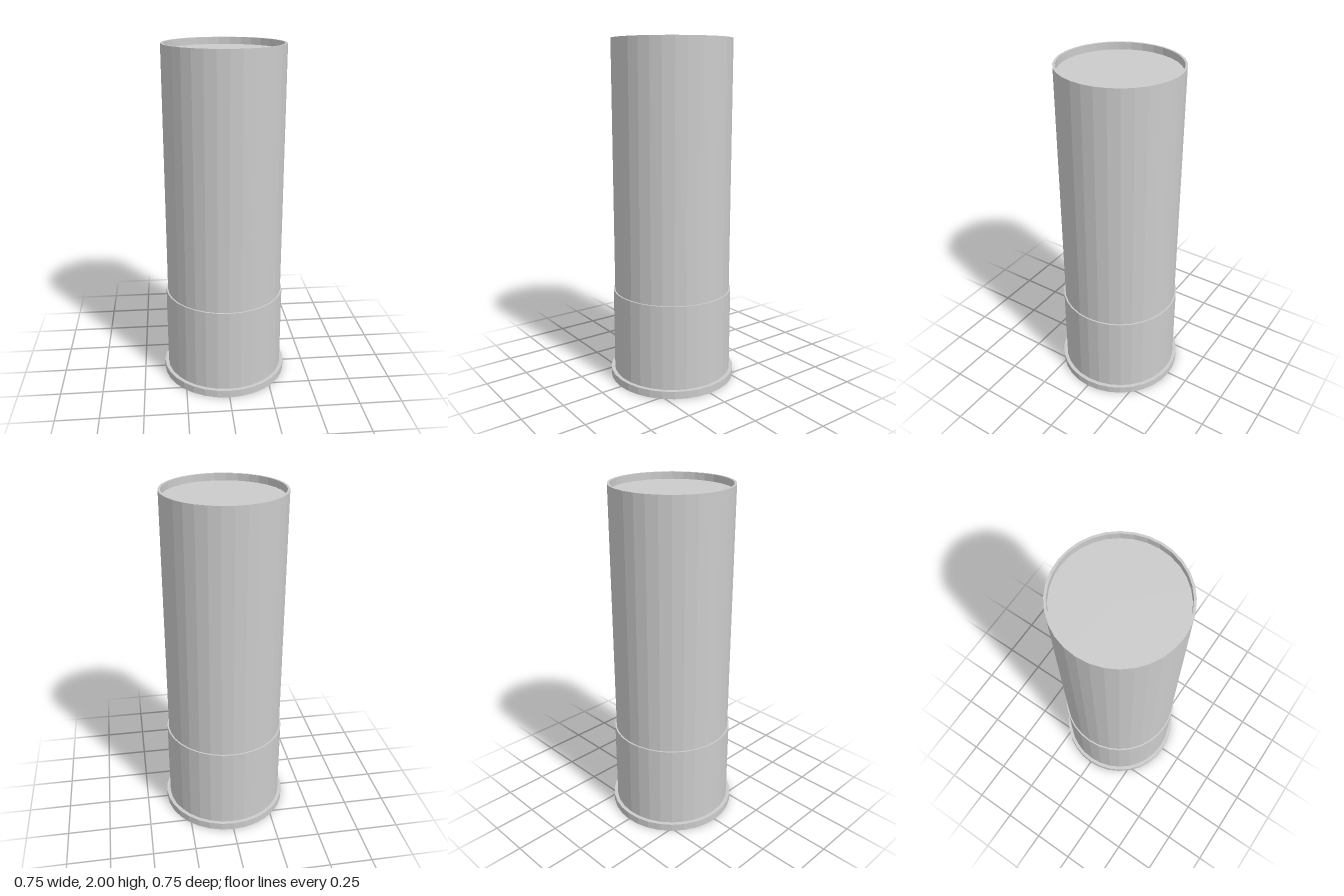
import * as THREE from 'three';

const SIDES = 32;
const material = new THREE.MeshStandardMaterial({ color: 0xcccccc, flatShading: true });

// Turned part: the profile of [radius, height] pairs runs from the bottom, outside, to the top
function turned(name, profile) {
  const points = profile.map(([r, y]) => new THREE.Vector2(r, y));
  const mesh = new THREE.Mesh(new THREE.LatheGeometry(points, SIDES), material);
  mesh.name = name;
  return mesh;
}

export function createModel() {
  const group = new THREE.Group();
  group.name = 'shotgunShell';

  const rimR = 0.374, headR = 0.352, tubeR = 0.343, innerR = 0.33, primerR = 0.128;
  const rimTop = 0.045, headTop = 0.545, top = 2, closureY = 1.96, primerY = 0.025;

  // Metal head with its flanged rim, open at the primer pocket
  group.add(turned('metalHead', [
    [primerR, primerY], [primerR, 0], [rimR, 0], [rimR, rimTop],
    [headR, rimTop], [headR, headTop], [tubeR, headTop],
  ]));

  // Recessed primer in the base
  group.add(turned('primer', [[0, primerY], [primerR, primerY]]));

  // Hull tube with a thin lip at the mouth
  group.add(turned('hullTube', [
    [tubeR, headTop], [tubeR, top], [innerR, top], [innerR, closureY],
  ]));

  // Flat closure sunk below the lip
  group.add(turned('closureDisc', [[innerR, closureY], [0, closureY]]));

  return group;
}
